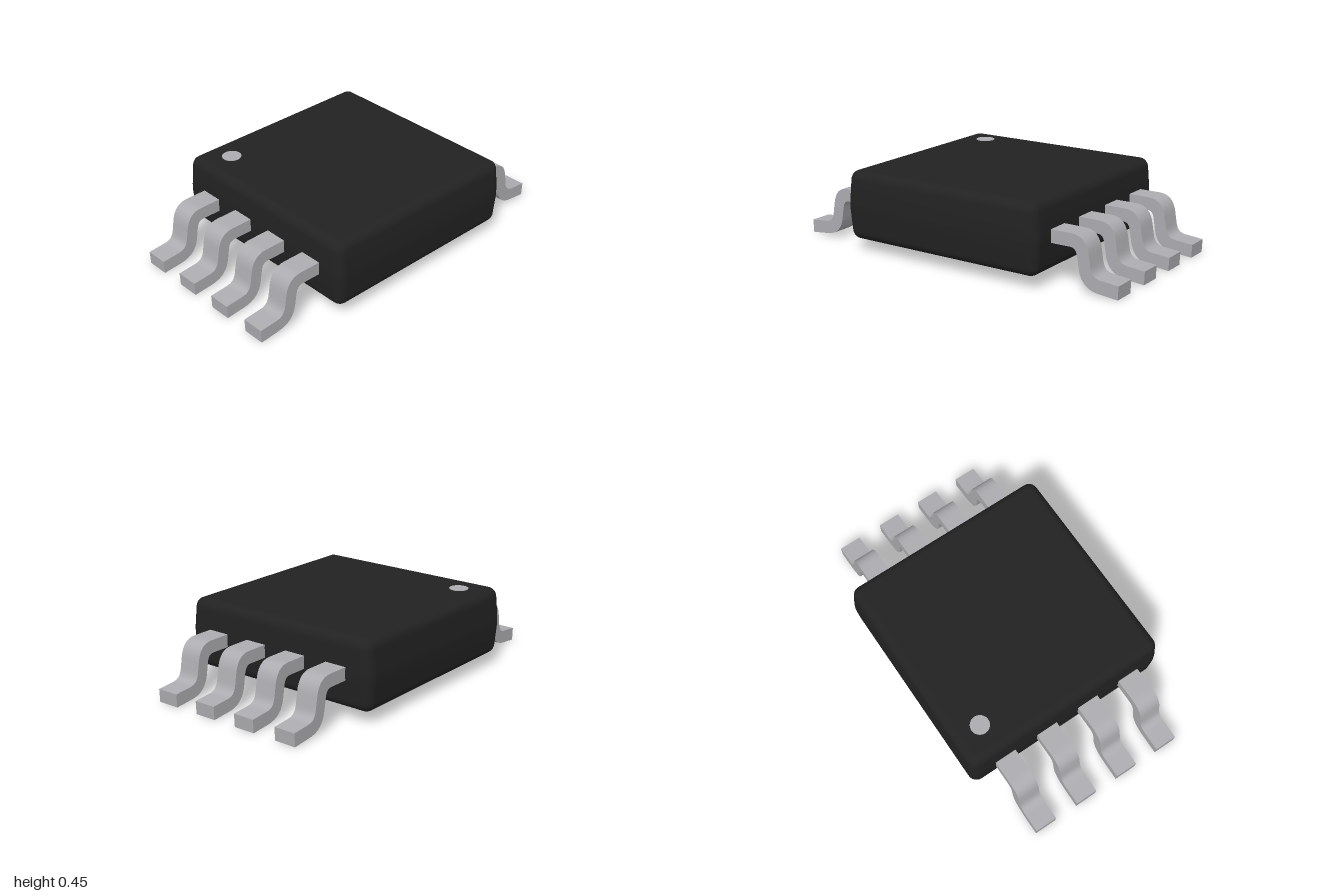
import * as THREE from 'three';
import { toCreasedNormals } from 'three/addons/utils/BufferGeometryUtils.js';

const paint = (name, color) => Object.assign(new THREE.MeshStandardMaterial({ color }), { name });

// Rounded square block: profile rows of [corner radius, y], bottom to top, around corner centres at +-c
function blockGeometry(c, profile, steps = 6) {
  const pos = [], idx = [], n = 4 * (steps + 1);
  for (const [r, y] of profile) {
    for (let q = 0; q < 4; q++) {
      const sx = q === 0 || q === 3 ? c : -c, sz = q < 2 ? c : -c;
      for (let s = 0; s <= steps; s++) {
        const a = (q + s / steps) * Math.PI / 2;
        pos.push(sx + r * Math.cos(a), y, sz + r * Math.sin(a));
      }
    }
  }
  const last = profile.length - 1, bottom = pos.length / 3, top = bottom + 1;
  pos.push(0, profile[0][1], 0, 0, profile[last][1], 0);
  for (let j = 0; j < n; j++) {
    const k = (j + 1) % n;
    for (let i = 0; i < last; i++) {
      const a = i * n + j, b = i * n + k;
      idx.push(a, a + n, b + n, a, b + n, b);
    }
    idx.push(bottom, j, k, top, last * n + k, last * n + j);
  }
  const g = new THREE.BufferGeometry();
  g.setAttribute('position', new THREE.Float32BufferAttribute(pos, 3));
  g.setIndex(idx);
  g.computeVertexNormals();
  return g;
}

// Gull-wing lead: bent strip outline in x-y, extruded across its width
function leadGeometry(width) {
  const s = new THREE.Shape();
  s.moveTo(0.57, 0.295);
  s.lineTo(0.73, 0.295);
  s.bezierCurveTo(0.79, 0.295, 0.82, 0.26, 0.83, 0.2);
  s.lineTo(0.84, 0.14);
  s.bezierCurveTo(0.848, 0.1, 0.865, 0.085, 0.9, 0.082);
  s.lineTo(1, 0.073);
  s.lineTo(0.997, 0);
  s.lineTo(0.89, 0.011);
  s.bezierCurveTo(0.82, 0.018, 0.785, 0.055, 0.774, 0.12);
  s.lineTo(0.763, 0.185);
  s.bezierCurveTo(0.757, 0.212, 0.745, 0.224, 0.72, 0.224);
  s.lineTo(0.57, 0.224);
  const g = new THREE.ExtrudeGeometry(s, { depth: width, bevelEnabled: false, curveSegments: 8 });
  g.translate(0, 0, -width / 2);
  return toCreasedNormals(g, 0.6);
}

export function createModel() {
  const model = new THREE.Group();
  model.name = 'chipPackage';
  const black = paint('moulded black', 0x222222);
  const metal = paint('tin grey', 0xadadb1);

  const add = (name, geometry, material, x = 0, y = 0, z = 0) => {
    const mesh = new THREE.Mesh(geometry, material);
    mesh.name = name;
    mesh.position.set(x, y, z);
    model.add(mesh);
    return mesh;
  };

  // Body with rounded rims and slightly bulging sides
  const low = [], high = [];
  for (let i = 0; i <= 6; i++) {
    const a = i / 6 * Math.PI / 2;
    low.push([0.052 * Math.sin(a), 0.12 - 0.055 * Math.cos(a)]);
    high.push([0.052 * Math.cos(a), 0.395 + 0.055 * Math.sin(a)]);
  }
  add('body', blockGeometry(0.55, [...low, [0.062, 0.235], [0.062, 0.28], ...high]), black);

  // Four leads on each side
  const lead = leadGeometry(0.127);
  for (const side of [1, -1]) {
    for (let i = 0; i < 4; i++) {
      const mesh = add(side > 0 ? 'leftLead' : 'rightLead', lead, metal, 0, 0, (i - 1.5) * 0.267);
      if (side < 0) mesh.rotation.y = Math.PI;
    }
  }

  // Pin one marker on top and thermal pad underneath
  add('pinOneMarker', new THREE.CylinderGeometry(0.053, 0.053, 0.006, 32), metal, -0.43, 0.45, -0.44);
  add('thermalPad', new THREE.BoxGeometry(0.59, 0.008, 0.73), metal, 0, 0.064, 0);

  return model;
}
